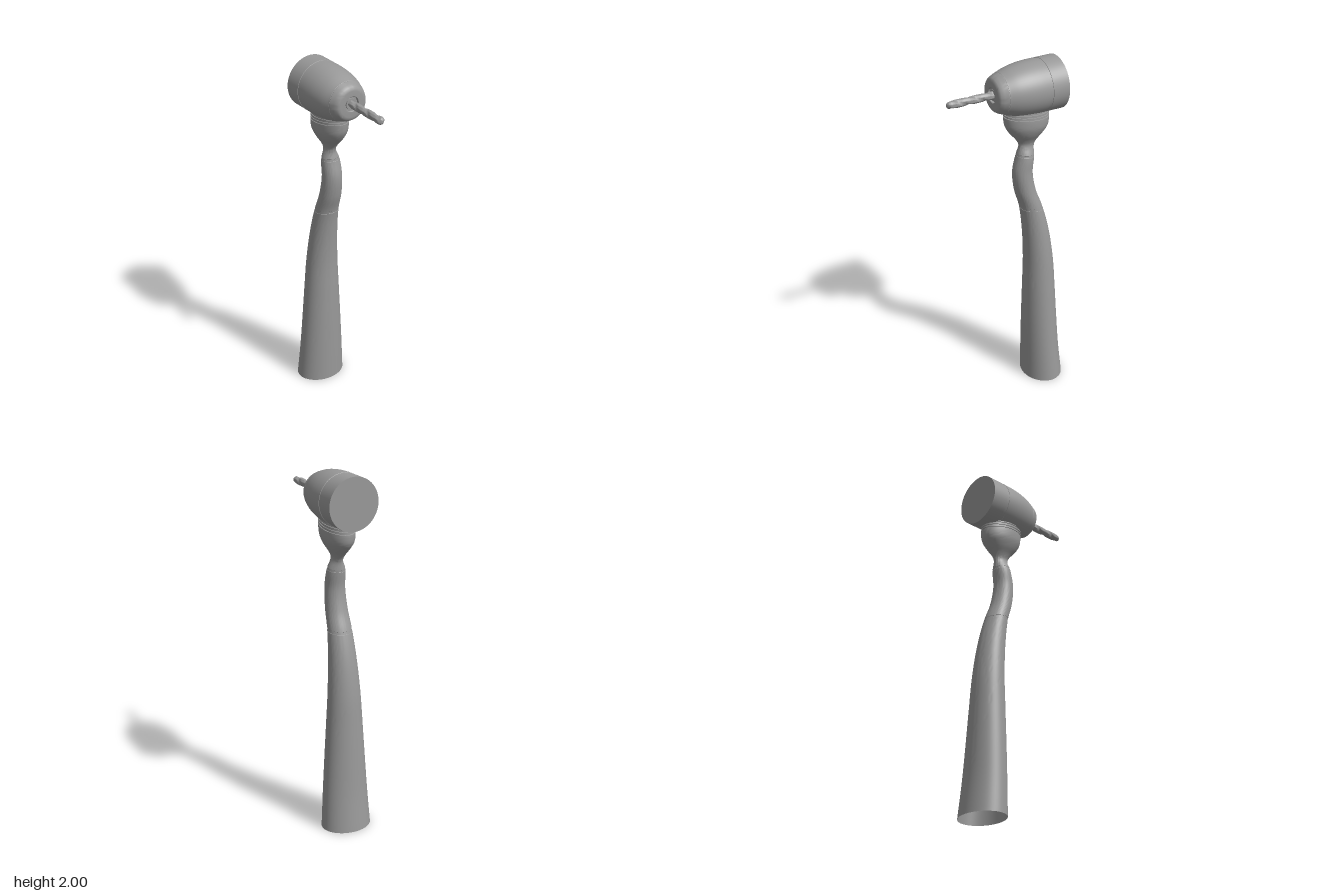
import * as THREE from 'three';
import { toCreasedNormals } from 'three/addons/utils/BufferGeometryUtils.js';

const ZC = -0.018; // plane of symmetry
const HEAD_Y = 1.856;

// Body sections: height, left edge x, right edge x, half depth
const SECTIONS = [
  [0, -0.512, -0.282, 0.143],
  [0.2, -0.49, -0.281, 0.13],
  [0.4, -0.476, -0.281, 0.117],
  [0.6, -0.464, -0.283, 0.104],
  [0.8, -0.45, -0.284, 0.091],
  [1.0, -0.419, -0.271, 0.077],
  [1.15, -0.378, -0.249, 0.067],
  [1.25, -0.34, -0.219, 0.061],
  [1.37, -0.318, -0.207, 0.055],
  [1.47, -0.327, -0.228, 0.049],
  [1.53, -0.33, -0.238, 0.027],
  [1.56, -0.345, -0.222, 0.038],
  [1.6, -0.376, -0.185, 0.063],
  [1.64, -0.404, -0.16, 0.08],
  [1.68, -0.413, -0.152, 0.085],
  [1.72, -0.412, -0.15, 0.084],
  [1.82, -0.408, -0.15, 0.082],
];
const sectionAt = new THREE.CubicInterpolant(
  SECTIONS.map((s) => s[0]), SECTIONS.flatMap((s) => s.slice(1)), 3, new Float32Array(3));

// Skin elliptical rings; each ring is [height, scale]. Rings lean slightly further up the body.
function loft(rings, sides = 56) {
  const pos = [], idx = [];
  for (const [y, scale] of rings) {
    const [x0, x1, hz] = sectionAt.evaluate(y);
    const cx = (x0 + x1) / 2, hx = (x1 - x0) / 2 * scale;
    const lean = 0.11 * THREE.MathUtils.smoothstep(y, 0.1, 1.1);
    for (let j = 0; j < sides; j++) {
      const a = j / sides * Math.PI * 2, dx = hx * Math.cos(a);
      pos.push(cx + dx, y + lean * dx, ZC + hz * scale * Math.sin(a));
    }
  }
  for (let i = 0; i < rings.length - 1; i++) {
    for (let j = 0; j < sides; j++) {
      const a = i * sides + j, b = i * sides + (j + 1) % sides;
      idx.push(a, a + sides, b, b, a + sides, b + sides);
    }
  }
  const geo = new THREE.BufferGeometry();
  geo.setAttribute('position', new THREE.Float32BufferAttribute(pos, 3));
  geo.setIndex(idx);
  return toCreasedNormals(geo, 0.6);
}

// Evenly spaced full-size rings between two heights
const span = (y0, y1, n) => Array.from({ length: n + 1 }, (_, i) => [y0 + (y1 - y0) * i / n, 1]);
// A shallow groove between two heights
const groove = (y0, y1, s) => [[y0, 1], [y0 + 0.001, s], [y1 - 0.001, s], [y1, 1]];

function headGeometry() {
  // Domed barrel between the seam and the nose
  const barrel = new THREE.SplineCurve([
    [0.144, -0.348], [0.1435, -0.3], [0.139, -0.24], [0.128, -0.18], [0.111, -0.128],
  ].map((p) => new THREE.Vector2(...p))).getPoints(20);
  const profile = [
    [0, -0.46], [0.144, -0.46], [0.144, -0.365], [0.142, -0.364], [0.142, -0.349],
    ...barrel.map((p) => [p.x, p.y]),
    // nose seam and rounded nose
    [0.1095, -0.127], [0.1095, -0.125], [0.11, -0.124], [0.101, -0.103], [0.092, -0.087],
    [0.083, -0.08], [0.072, -0.078], [0.042, -0.078],
    // shallow ring gap and collet around the drill
    [0.04, -0.08], [0.04, -0.092], [0.031, -0.092], [0.031, -0.084], [0, -0.084],
  ].map((p) => new THREE.Vector2(...p));
  return toCreasedNormals(new THREE.LatheGeometry(profile, 64), 0.6);
}

function drillGeometry() {
  // Round rod with two narrow twisted flutes and a rounded tip
  const length = 0.28;
  const geo = new THREE.CylinderGeometry(1, 1, length, 32, 90);
  const p = geo.attributes.position;
  for (let i = 0; i < p.count; i++) {
    const x = p.getX(i), y = p.getY(i), z = p.getZ(i);
    const a = Math.atan2(-z, x) - y * Math.PI * 2 / 0.2;
    const tip = Math.max(0, (y - (length / 2 - 0.025)) / 0.025);
    const r = (0.0215 - 0.005 * Math.cos(a) ** 6) * Math.sqrt(1 - 0.95 * tip * tip);
    p.setXYZ(i, x * r, y, z * r);
  }
  return toCreasedNormals(geo, 0.7);
}

export function createModel() {
  const group = new THREE.Group();
  const mat = new THREE.MeshStandardMaterial({ color: 0x999999 });
  const openMat = new THREE.MeshStandardMaterial({ color: 0x999999, side: THREE.DoubleSide });
  const add = (name, geo, material = mat) => {
    const mesh = new THREE.Mesh(geo, material);
    mesh.name = name;
    group.add(mesh);
    return mesh;
  };

  // Handle, open at the bottom
  add('handle', loft(span(0, 1.134, 48)), openMat);
  add('handleSeam', loft(groove(1.134, 1.15, 0.98)));
  add('bentNeck', loft(span(1.15, 1.464, 24)));
  add('neckSeam', loft(groove(1.464, 1.478, 0.98)));
  add('headSocket', loft(span(1.478, 1.698, 28)));

  // Ribbed collar running up into the head
  const ribs = [];
  for (let i = 0; i < 3; i++) {
    const y = 1.698 + i * 0.015;
    ribs.push(...groove(y, y + 0.006, 0.96), [y + 0.0149, 1]);
  }
  add('collar', loft([...ribs, [1.8, 0.97]]));

  // Head and drill lie along x
  for (const [name, geo, x] of [['head', headGeometry(), 0], ['drill', drillGeometry(), 0.042]]) {
    const mesh = add(name, geo);
    mesh.rotation.z = -Math.PI / 2;
    mesh.position.set(x, HEAD_Y, ZC);
  }

  return group;
}
